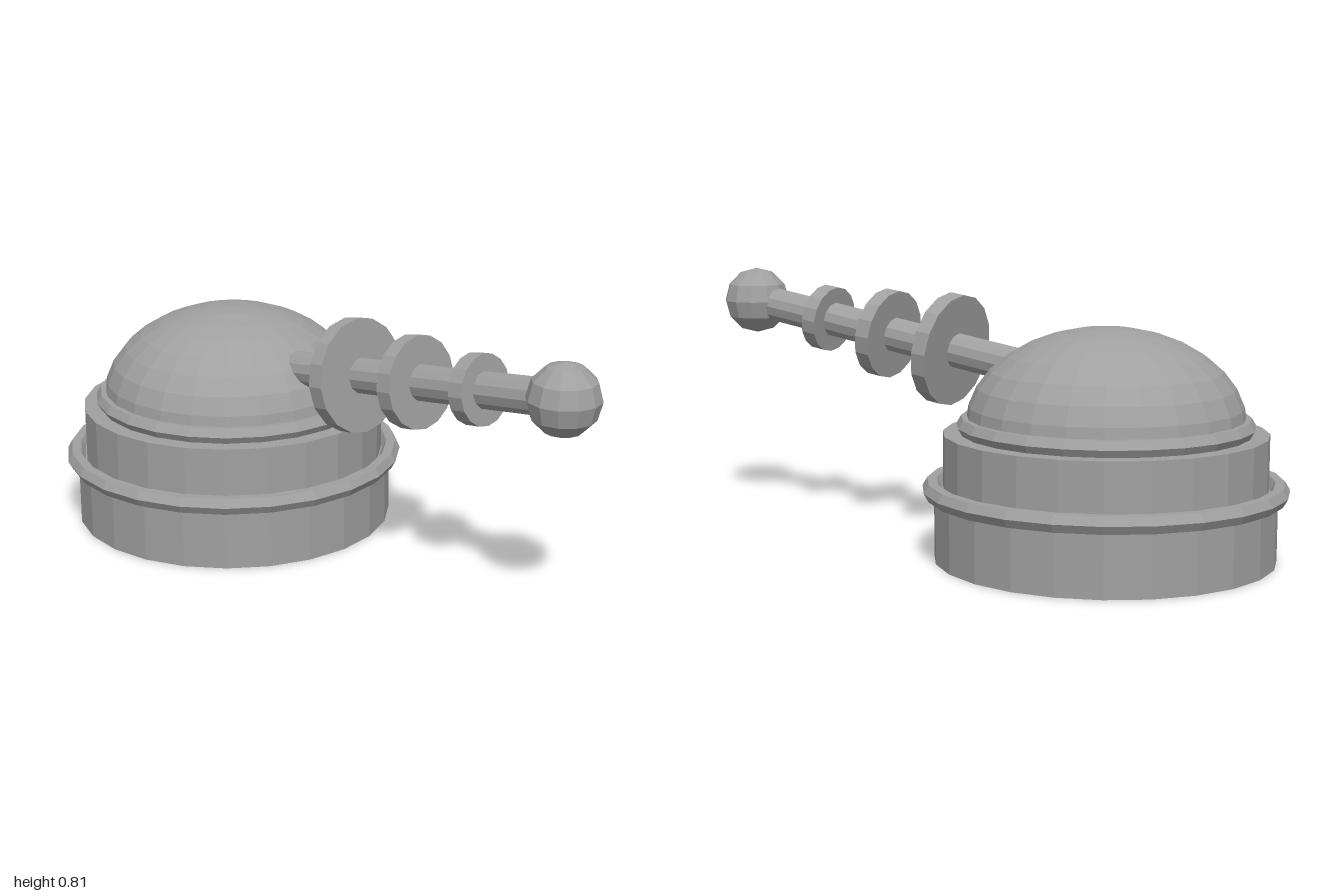
import * as THREE from 'three';

export function createModel() {
  const model = new THREE.Group();
  const metal = new THREE.MeshStandardMaterial({ color: 0xa0a0a0, flatShading: true });
  metal.name = 'grey metal';

  const add = (parent, name, geometry, x, y, z) => {
    const mesh = new THREE.Mesh(geometry, metal);
    mesh.name = name;
    mesh.position.set(x, y, z);
    parent.add(mesh);
    return mesh;
  };

  // Stepped round base, all parts sharing one vertical axis
  const turret = new THREE.Group();
  turret.name = 'turret';
  turret.position.z = -0.455;
  model.add(turret);

  const drum = (name, radius, bottom, top) =>
    add(turret, name, new THREE.CylinderGeometry(radius, radius, top - bottom, 24), 0, (bottom + top) / 2, 0);
  drum('lowerDrum', 0.51, 0, 0.211);
  drum('upperDrum', 0.483, 0.2, 0.378);

  // Six-sided trim rings
  const trim = (name, radius, y) =>
    add(turret, name, new THREE.TorusGeometry(radius, 0.029, 6, 24).rotateX(Math.PI / 2), 0, y, 0);
  trim('lowerTrim', 0.516, 0.211);
  trim('domeTrim', 0.414, 0.4);

  // Flattened dome
  const dome = new THREE.SphereGeometry(0.415, 24, 8, 0, Math.PI * 2, 0, Math.PI / 2);
  add(turret, 'dome', dome.scale(1, 0.7, 1), 0, 0.4, 0);

  // Barrel, tilted up 8 degrees; its local z runs back from the tip
  const tilt = THREE.MathUtils.degToRad(8);
  const barrel = new THREE.Group();
  barrel.name = 'barrel';
  barrel.position.set(0, 0.698, 0.893);
  barrel.rotation.x = -tilt;
  model.add(barrel);

  const disc = (name, radius, length, sides, z) =>
    add(barrel, name, new THREE.CylinderGeometry(radius, radius, length, sides).rotateX(Math.PI / 2), 0, 0, z);
  disc('rod', 0.055, 1.2, 12, -0.6);
  [[0.105, 0.59], [0.14, 0.347], [0.175, 0.104]].forEach(([radius, z], i) =>
    disc('barrelDisc' + (i + 1), radius, 0.05, 16, (z - 0.893) / Math.cos(tilt)));

  // Ball at the tip
  add(model, 'tipBall', new THREE.SphereGeometry(0.107, 12, 6), 0, 0.698, 0.893);

  return model;
}
